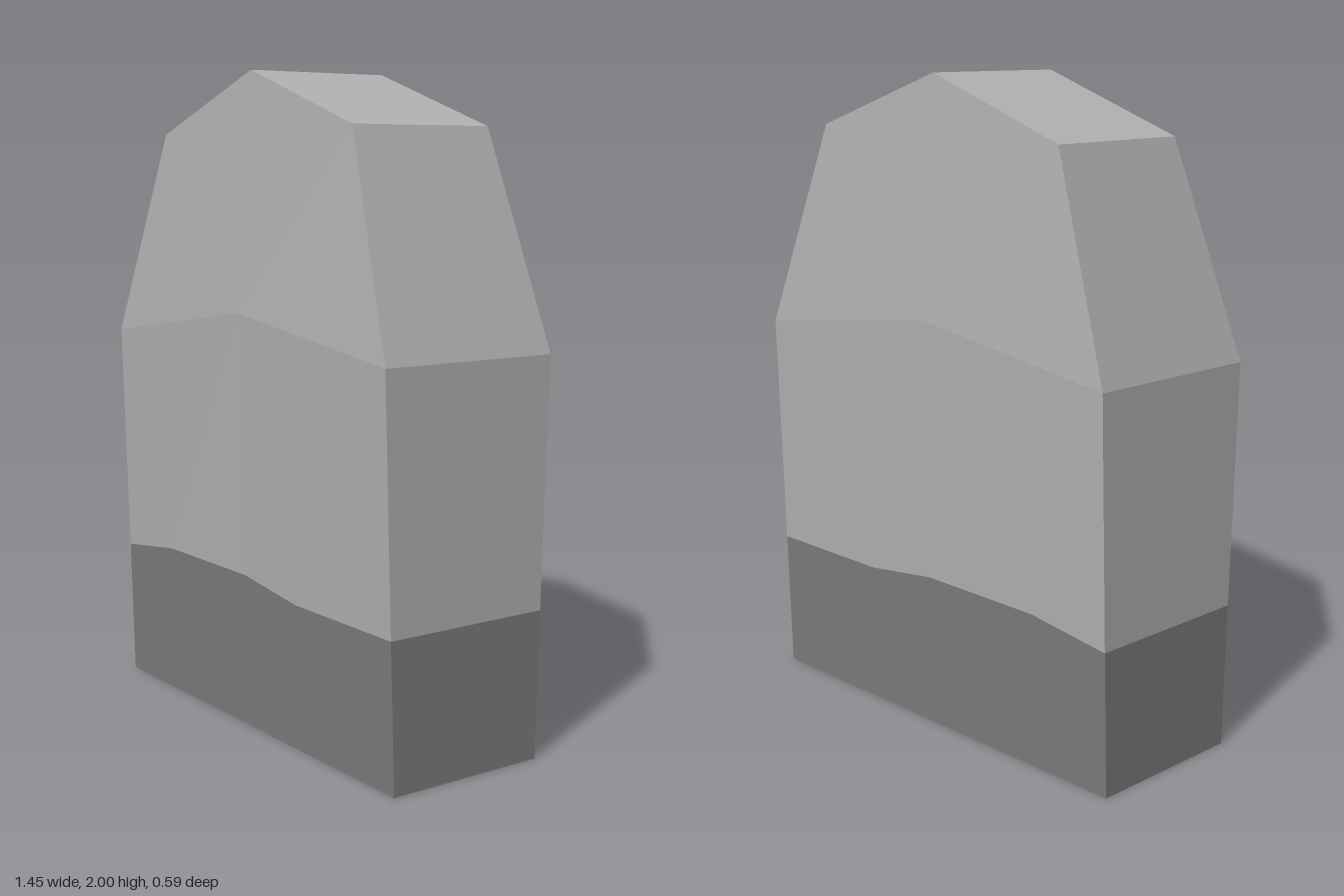
import * as THREE from 'three';

// Rows of [x, y, z] along the front face; the back mirrors them in z.
const BASE = [[-0.726, 0, 0.261], [-0.44, 0, 0.261], [0, 0, 0.261], [0.27, 0, 0.261], [0.726, 0, 0.261]];
const BORDER = [[-0.724, 0.44, 0.274], [-0.44, 0.478, 0.275], [0, 0.48, 0.275], [0.27, 0.445, 0.274], [0.724, 0.445, 0.274]];
const CREASE = [[-0.722, 1.18, 0.297], [-0.44, 1.221, 0.297], [0, 1.285, 0.297], [0.27, 1.25, 0.297], [0.722, 1.19, 0.297]];
const SHOULDER = [CREASE[0], CREASE[2], CREASE[4]];
const CROWN = [[-0.5, 1.82, 0.243], [0, 2, 0.243], [0.5, 1.833, 0.243]];

const back = ([x, y, z]) => [x, y, -z];

// Two triangles, corners counter-clockwise seen from outside
function quad(out, a, b, c, d) {
  out.push(...a, ...b, ...c, ...a, ...c, ...d);
}

// Closed wall between two rows: front, back and both ends
function wall(out, low, high) {
  const n = low.length - 1;
  for (let i = 0; i < n; i++) {
    quad(out, low[i], low[i + 1], high[i + 1], high[i]);
    quad(out, back(low[i + 1]), back(low[i]), back(high[i]), back(high[i + 1]));
  }
  quad(out, low[n], back(low[n]), back(high[n]), high[n]);
  quad(out, back(low[0]), low[0], high[0], back(high[0]));
}

// Sloped roof from the front row to the back row
function roof(out, row) {
  for (let i = 0; i < row.length - 1; i++) {
    quad(out, row[i], row[i + 1], back(row[i + 1]), back(row[i]));
  }
}

function part(name, material, build) {
  const out = [];
  build(out);
  const geometry = new THREE.BufferGeometry();
  geometry.setAttribute('position', new THREE.Float32BufferAttribute(out, 3));
  geometry.computeVertexNormals(); // unshared corners give flat facets
  const mesh = new THREE.Mesh(geometry, material);
  mesh.name = name;
  return mesh;
}

export function createModel() {
  const paleStone = new THREE.MeshStandardMaterial({ color: 0xb0b0b0, side: THREE.DoubleSide });
  paleStone.name = 'paleStone';
  const darkStone = new THREE.MeshStandardMaterial({ color: 0x7b7b7b, side: THREE.DoubleSide });
  darkStone.name = 'darkStone';

  const stone = new THREE.Group();
  stone.name = 'standingStone';
  // Dark foot, open underneath
  stone.add(part('foot', darkStone, (out) => wall(out, BASE, BORDER)));
  // Pale body
  stone.add(part('body', paleStone, (out) => wall(out, BORDER, CREASE)));
  // Tapered head with a ridged top
  stone.add(part('head', paleStone, (out) => {
    wall(out, SHOULDER, CROWN);
    roof(out, CROWN);
  }));
  return stone;
}
